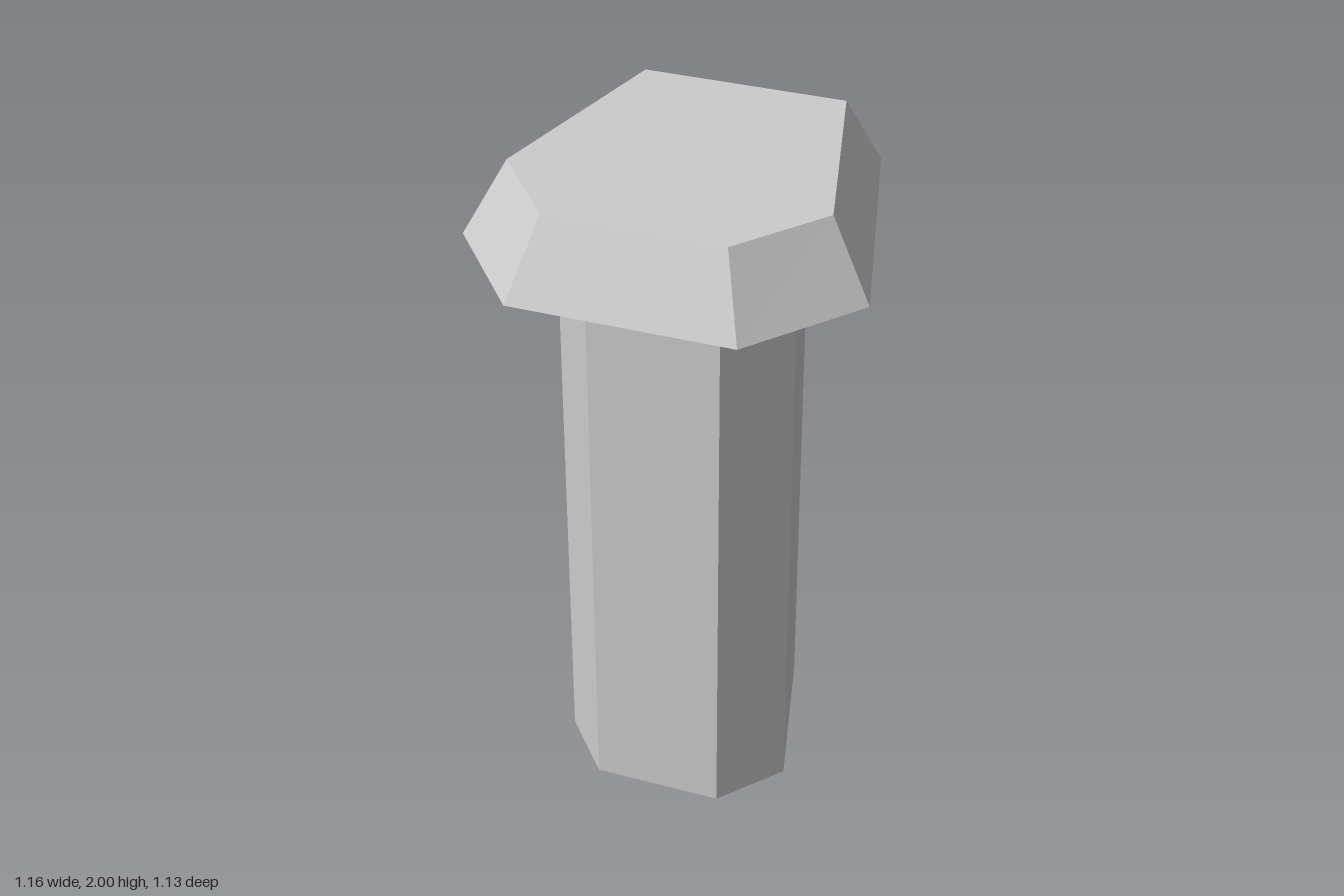
import * as THREE from 'three';

// Flat-sided prism between two rings of [x, z] corners, optionally capped.
function loft(lower, y0, upper, y1, capped) {
  const b = lower.map(([x, z]) => [x, y0, z]);
  const t = upper.map(([x, z]) => [x, y1, z]);
  const n = b.length;
  const tris = [];
  for (let i = 0; i < n; i++) {
    const j = (i + 1) % n;
    tris.push(b[i], t[i], b[j], b[j], t[i], t[j]);
    if (capped && i > 0 && i < n - 1) {
      tris.push(t[0], t[j], t[i], b[0], b[i], b[j]);
    }
  }
  const geometry = new THREE.BufferGeometry();
  geometry.setAttribute('position', new THREE.Float32BufferAttribute(tris.flat(), 3));
  geometry.computeVertexNormals();
  return geometry;
}

// Six-cornered ring, mirrored left to right, from its three +x corners.
function mirrored(corners) {
  return [...corners, ...corners.map(([x, z]) => [-x, z]).reverse()];
}

export function createModel() {
  const group = new THREE.Group();
  group.name = 'post';

  const grey = new THREE.MeshStandardMaterial({ color: 0xcccccc });
  grey.name = 'light grey';
  grey.flatShading = true;
  grey.side = THREE.DoubleSide;

  // Shaft: hollow six-sided tube, open at the bottom
  const section = [
    [0.235, -0.335], [0.355, 0.155], [0.2, 0.34],
    [-0.185, 0.34], [-0.34, 0.155], [-0.216, -0.335],
  ];
  const shaft = new THREE.Mesh(loft(section, 0, section, 1.775, false), grey);
  shaft.name = 'shaft';

  // Cap: wide tapered head, closed above and below
  const capBottom = mirrored([[0.38, -0.565], [0.58, 0.247], [0.322, 0.563]]);
  const capTop = mirrored([[0.302, -0.446], [0.459, 0.2], [0.257, 0.45]]);
  const cap = new THREE.Mesh(loft(capBottom, 1.775, capTop, 2, true), grey);
  cap.name = 'cap';

  group.add(shaft, cap);
  return group;
}
